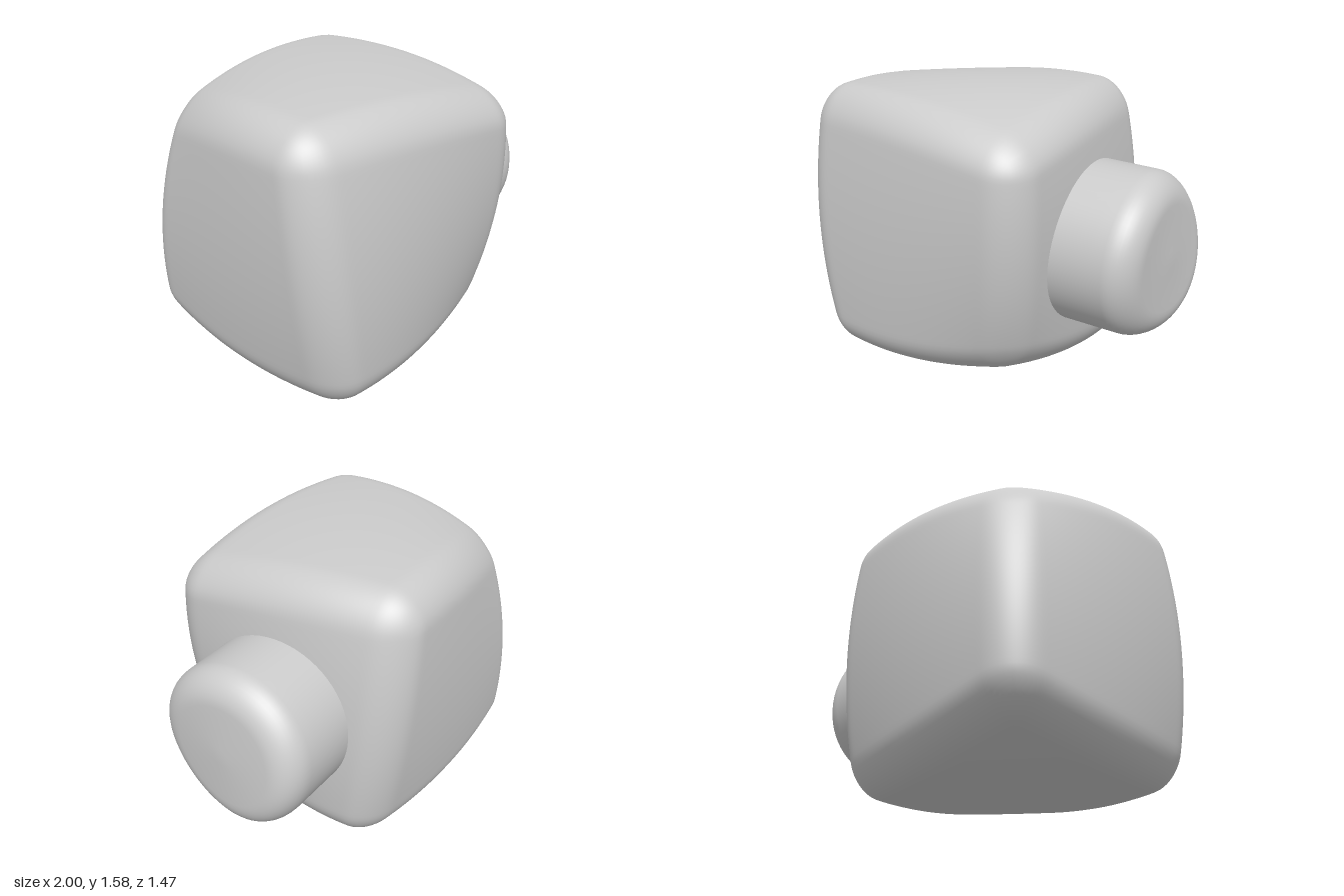
import * as THREE from 'three';
import { mergeVertices } from 'three/addons/utils/BufferGeometryUtils.js';

const material = new THREE.MeshStandardMaterial({ color: 0xcccccc });

// Weld a geometry, move each vertex by a rule, then smooth the normals.
function warp(geometry, rule) {
  geometry.deleteAttribute('normal');
  geometry.deleteAttribute('uv');
  const welded = mergeVertices(geometry, 1e-4);
  const pos = welded.attributes.position;
  const p = new THREE.Vector3();
  for (let i = 0; i < pos.count; i++) {
    rule(p.fromBufferAttribute(pos, i));
    pos.setXYZ(i, p.x, p.y, p.z);
  }
  welded.computeVertexNormals();
  return welded;
}

// Soft block: rounded edges, and faces that dome and bend like a saddle.
function createBlock() {
  const half = new THREE.Vector3(0.775, 0.79, 0.733);
  const radius = 0.19, dome = 0.085, saddle = 0.09;
  const inner = half.clone().subScalar(radius);
  const outer = inner.clone().negate();
  const core = new THREE.Vector3();
  const geometry = new THREE.BoxGeometry(half.x * 2, half.y * 2, half.z * 2, 48, 48, 48);
  return warp(geometry, (p) => {
    core.copy(p).clamp(outer, inner);
    p.sub(core).setLength(radius).add(core);
    const u = p.x / half.x, v = p.y / half.y, w = p.z / half.z;
    p.x *= 1 - dome * (v * v + w * w) + saddle * v * w;
    p.y *= 1 - dome * (u * u + w * w) - saddle * u * w;
    p.z *= 1 - dome * (u * u + v * v) + saddle * u * v;
  });
}

// Round knob with a soft rim and a slightly slanted, bent end.
function createKnob() {
  const profile = [];
  for (let i = 0; i <= 6; i++) profile.push(new THREE.Vector2(0.443 - 0.001 * i, 0.4 + 0.07 * i));
  const r = 0.155;
  for (let i = 1; i <= 10; i++) {
    const a = (i / 10) * Math.PI / 2;
    profile.push(new THREE.Vector2(0.437 - r + r * Math.cos(a), 0.82 + r * Math.sin(a)));
  }
  for (let i = 1; i <= 6; i++) profile.push(new THREE.Vector2(0.282 * (1 - i / 6), 0.975 + 0.01 * i / 6));
  const geometry = new THREE.LatheGeometry(profile, 64).rotateZ(-Math.PI / 2);
  return warp(geometry, (p) => {
    const blend = THREE.MathUtils.smoothstep(p.x, 0.7, 0.97);
    p.x += blend * (0.25 * p.y * p.z - 0.035 * (p.y + p.z));
  });
}

export function createModel() {
  const model = new THREE.Group();
  model.name = 'blockWithKnob';

  const block = new THREE.Mesh(createBlock(), material);
  block.name = 'block';
  block.position.set(-0.225, 0.792, 0);

  const knob = new THREE.Mesh(createKnob(), material);
  knob.name = 'sideKnob';
  knob.position.set(0, 0.778, -0.016);

  model.add(block, knob);
  return model;
}
